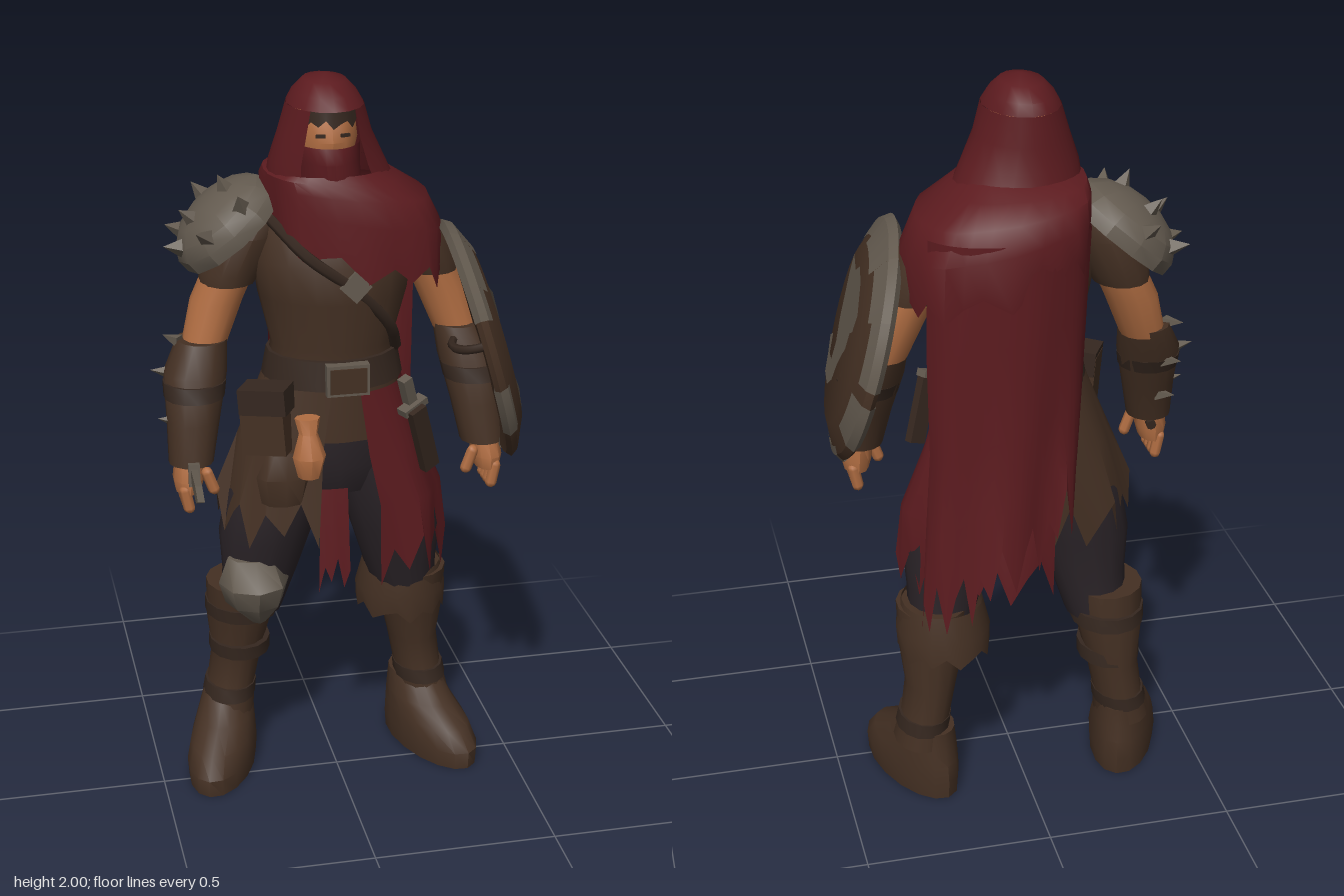
import * as THREE from 'three';
import { toCreasedNormals } from 'three/addons/utils/BufferGeometryUtils.js';

const mat = (name, color, side = THREE.FrontSide) => {
  const m = new THREE.MeshStandardMaterial({ color, side });
  m.name = name;
  return m;
};

export function createModel() {
  const red = mat('redCloth', 0x5c1b1f, THREE.DoubleSide);
  const leather = mat('brownLeather', 0x443023, THREE.DoubleSide);
  const darkLeather = mat('darkLeather', 0x35271f, THREE.DoubleSide);
  const pants = mat('darkTrousers', 0x2a2327);
  const metal = mat('wornMetal', 0x62594e, THREE.DoubleSide);
  const skin = mat('skin', 0xb06d42);
  const model = new THREE.Group();

  const add = (name, geo, material, parent = model) => {
    const m = new THREE.Mesh(geo, material);
    m.name = name;
    parent.add(m);
    return m;
  };

  // Skin over elliptical rings [x, y, z, rx, rz], listed top to bottom; square < 1 makes them boxier.
  // Cloth uses an open arc (0 = front, PI/2 = model's left), folds and a ragged, tilted hem.
  const teeth = [1, 0.25, 0.7, 0, 0.9, 0.4, 0.15];
  const power = (v, p) => Math.sign(v) * Math.abs(v) ** p;
  function skinRings(rings, o = {}) {
    const { n = 14, a0 = 0, a1 = Math.PI * 2, hem = 0, fold = 0, tilt = 0, square = 1, caps = !hem } = o;
    const rows = rings.map(r => [...r]);
    if (caps) {
      const f = rings[0], l = rings[rings.length - 1];
      rows.unshift([f[0], f[1], f[2], 0, 0]);
      rows.push([l[0], l[1], l[2], 0, 0]);
    }
    const pos = [], idx = [];
    rows.forEach(([x, y, z, rx, rz], i) => {
      const t = i / (rows.length - 1);
      for (let j = 0; j <= n; j++) {
        const a = a0 + (a1 - a0) * j / n;
        const k = 1 + fold * t * Math.sin(a * 8 + t * 2);
        const px = x + rx * k * power(Math.sin(a), square);
        const drop = i === rows.length - 1 ? hem * teeth[j % 7] : 0;
        pos.push(px, y - drop - tilt * px * t, z + rz * k * power(Math.cos(a), square));
      }
    });
    const w = n + 1;
    for (let i = 0; i < rows.length - 1; i++) for (let j = 0; j < n; j++) {
      const p = i * w + j;
      idx.push(p, p + w, p + w + 1, p, p + w + 1, p + 1);
    }
    const g = new THREE.BufferGeometry();
    g.setAttribute('position', new THREE.Float32BufferAttribute(pos, 3));
    g.setIndex(idx);
    return toCreasedNormals(g, 0.75);
  }
  const body = (name, rings, material, o) => add(name, skinRings(rings, o), material);
  const cloth = (name, rings, material, o) => body(name, rings, material, { caps: false, n: 21, ...o });
  const box = (name, size, p, material, rot = [0, 0, 0]) => {
    const m = add(name, new THREE.BoxGeometry(...size), material);
    m.position.set(...p);
    m.rotation.set(...rot);
  };
  const up = new THREE.Vector3(0, 1, 0);
  const spike = (p, dir, r, h, parent) => {
    const m = add('spike', new THREE.ConeGeometry(r, h, 4).toNonIndexed(), metal, parent);
    m.geometry.computeVertexNormals();
    m.position.copy(p);
    m.quaternion.setFromUnitVectors(up, dir.clone().normalize());
  };

  // Torso and pelvis
  body('jerkin', [[0, 1.7, -0.08, 0.1, 0.09], [0, 1.63, -0.08, 0.19, 0.13], [0, 1.52, -0.07, 0.215, 0.16],
    [0, 1.42, -0.06, 0.2, 0.16], [0, 1.28, -0.07, 0.165, 0.135], [0, 1.18, -0.07, 0.18, 0.145],
    [0, 1.03, -0.07, 0.195, 0.15]], leather, { n: 18 });
  body('pelvis', [[0, 1.06, -0.08, 0.19, 0.14], [0, 0.95, -0.08, 0.2, 0.145], [0, 0.86, -0.08, 0.14, 0.11]], pants);
  body('belt', [[0, 1.26, -0.07, 0.177, 0.15], [0, 1.18, -0.07, 0.192, 0.16]], darkLeather, { n: 18 });
  box('buckle', [0.115, 0.085, 0.03], [0.01, 1.215, 0.09], metal);
  box('bucklePlate', [0.098, 0.068, 0.008], [0.01, 1.215, 0.106], leather);
  box('chestPlate', [0.06, 0.06, 0.012], [0.03, 1.47, 0.1], metal, [-0.05, 0, 0.8]);
  const strap = new THREE.CatmullRomCurve3([[-0.17, 1.63, -0.02], [-0.09, 1.55, 0.075], [0.03, 1.46, 0.088],
    [0.13, 1.35, 0.05], [0.165, 1.26, -0.02]].map(p => new THREE.Vector3(...p)));
  add('chestStrap', new THREE.TubeGeometry(strap, 16, 0.016, 5), darkLeather);

  // Head, mask and hood
  body('head', [[-0.02, 1.95, -0.06, 0.04, 0.05], [-0.02, 1.91, -0.06, 0.075, 0.095], [-0.02, 1.84, -0.05, 0.082, 0.105],
    [-0.02, 1.76, -0.05, 0.065, 0.085], [-0.01, 1.65, -0.07, 0.06, 0.06]], skin);
  cloth('fringe', [[-0.02, 1.93, -0.05, 0.08, 0.105], [-0.02, 1.9, -0.05, 0.086, 0.11]], darkLeather,
    { n: 8, a0: -0.9, a1: 0.9, hem: 0.025 });
  for (const s of [-1, 1]) box('eye', [0.024, 0.008, 0.008], [-0.02 + s * 0.032, 1.86, 0.05], darkLeather, [0, s * 0.3, 0]);
  cloth('faceMask', [[-0.02, 1.83, -0.05, 0.088, 0.122], [-0.02, 1.79, -0.05, 0.088, 0.135],
    [-0.01, 1.72, -0.05, 0.08, 0.11], [0, 1.65, -0.05, 0.1, 0.12]], red, { n: 10, a0: -1.3, a1: 1.3 });
  cloth('hoodCrown', [[-0.02, 2, -0.055, 0, 0], [-0.02, 1.985, -0.06, 0.055, 0.075], [-0.02, 1.955, -0.06, 0.083, 0.117],
    [-0.02, 1.925, -0.055, 0.1, 0.132]], red, { n: 16 });
  cloth('hood', [[-0.02, 1.925, -0.055, 0.1, 0.132], [-0.02, 1.85, -0.06, 0.122, 0.135],
    [-0.015, 1.78, -0.065, 0.15, 0.135], [0, 1.7, -0.08, 0.175, 0.15]], red,
    { n: 18, a0: 0.62, a1: Math.PI * 2 - 0.62 });

  // Mantle, cape and skirts
  cloth('mantle', [[-0.01, 1.755, -0.07, 0.14, 0.135], [0, 1.735, -0.09, 0.175, 0.165], [0.04, 1.7, -0.11, 0.22, 0.2],
    [0.06, 1.64, -0.12, 0.24, 0.22], [0.065, 1.56, -0.115, 0.24, 0.215]], red,
    { n: 28, hem: 0.07, fold: 0.03, tilt: 0.25, square: 0.8 });
  cloth('cape', [[0.05, 1.65, -0.12, 0.235, 0.21], [0.06, 1.4, -0.11, 0.235, 0.22], [0.06, 1.15, -0.1, 0.23, 0.22],
    [0.07, 0.98, -0.1, 0.235, 0.225], [0.08, 0.89, -0.1, 0.24, 0.235]], red,
    { a0: 2.1, a1: 4.2, hem: 0.18, fold: 0.06, tilt: 0.75, square: 0.85 });
  cloth('redSkirt', [[0, 1.17, -0.07, 0.19, 0.158], [0.01, 1.0, -0.08, 0.235, 0.185], [0.03, 0.86, -0.09, 0.275, 0.21],
    [0.035, 0.76, -0.09, 0.28, 0.215]], red, { a0: 0.25, a1: 3.5, hem: 0.14, fold: 0.05, tilt: 0.1 });
  cloth('redFrontStrip', [[0, 0.88, -0.08, 0.19, 0.12], [0, 0.78, -0.08, 0.2, 0.13], [0, 0.68, -0.08, 0.22, 0.14]], red,
    { n: 5, a0: -0.28, a1: 0.12, hem: 0.1 });
  cloth('leatherSkirt', [[0, 1.19, -0.07, 0.19, 0.155], [-0.02, 1.02, -0.08, 0.235, 0.175], [-0.03, 0.87, -0.08, 0.28, 0.195]],
    leather, { a0: 2.9, a1: Math.PI * 2 - 0.15, n: 18, hem: 0.14, fold: 0.04 });

  // Pouches and sheathed knife
  box('hipPouch', [0.12, 0.17, 0.08], [-0.2, 1.1, 0.05], leather, [0, -0.5, 0.08]);
  box('hipPouchFlap', [0.13, 0.07, 0.09], [-0.2, 1.165, 0.052], darkLeather, [0, -0.5, 0.08]);
  body('lowerPouch', [[-0.15, 1.02, 0.07, 0.05, 0.03], [-0.16, 0.95, 0.08, 0.075, 0.045], [-0.16, 0.87, 0.07, 0.06, 0.04]], leather, { n: 8 });
  body('tanBag', [[-0.1, 1.12, 0.1, 0.035, 0.025], [-0.1, 1.08, 0.11, 0.025, 0.025], [-0.1, 1.02, 0.125, 0.045, 0.042],
    [-0.1, 0.96, 0.12, 0.03, 0.03]], skin, { n: 8 });
  box('knifeSheath', [0.05, 0.2, 0.025], [0.215, 1.035, 0.1], darkLeather, [0.1, 0.5, 0.3]);
  box('knifeGuard', [0.08, 0.02, 0.035], [0.185, 1.13, 0.1], metal, [0.1, 0.5, 0.3]);
  box('knifeGrip', [0.03, 0.08, 0.028], [0.17, 1.175, 0.1], metal, [0.1, 0.5, 0.3]);

  // Arms and legs
  for (const s of [-1, 1]) {
    const side = (rings, out = 0) => rings.map(([x, ...r]) => [(x + out) * s, ...r]);
    const wide = s < 0 ? 0.012 : 0.004;
    body('sleeve', side([[0.17, 1.65, -0.1, 0.06, 0.07], [0.22, 1.58, -0.1, 0.085, 0.095], [0.265, 1.48, -0.1, 0.083, 0.09],
      [0.275, 1.45, -0.1, 0.076, 0.085]]), leather);
    body('upperArm', side([[0.26, 1.5, -0.1, 0.07, 0.08], [0.305, 1.4, -0.1, 0.07, 0.075], [0.345, 1.28, -0.08, 0.06, 0.06]]), skin);
    body('bracer', side([[0.35, 1.3, -0.075, 0.068, 0.07], [0.374, 1.22, -0.045, 0.085, 0.08], [0.388, 1.1, -0.005, 0.071, 0.068],
      [0.4, 0.99, 0.02, 0.06, 0.06]]), leather);
    body('bracerBand', side([[0.378, 1.2, -0.035, 0.085, 0.083], [0.382, 1.16, -0.02, 0.081, 0.08]]), darkLeather);
    body('palm', side([[0.405, 1.01, 0.02, 0.038, 0.045], [0.41, 0.95, 0.03, 0.042, 0.058], [0.412, 0.915, 0.03, 0.034, 0.052]]), skin, { n: 10 });
    for (let i = 0; i < 5; i++) {
      const thumb = i === 4;
      const f = add(thumb ? 'thumb' : 'finger', new THREE.CapsuleGeometry(0.016, 0.05, 3, 7), skin);
      f.position.set(s * (thumb ? 0.355 : 0.42), thumb ? 0.945 : 0.902, thumb ? 0.06 : -0.01 + i * 0.027);
      f.rotation.z = s * (thumb ? -0.35 : -0.2);
    }
    body('trouserLeg', side([[0.11, 1.0, -0.08, 0.1, 0.13], [0.155, 0.86, -0.08, 0.135, 0.14], [0.185, 0.72, -0.09, 0.128, 0.125],
      [0.2, 0.6, -0.1, 0.104, 0.105], [0.22, 0.48, -0.12, 0.085, 0.095]]), pants);
    body('bootShaft', side([[0.235, 0.56, -0.125, 0.1, 0.11], [0.243, 0.44, -0.14, 0.09, 0.106], [0.25, 0.33, -0.152, 0.07, 0.09],
      [0.265, 0.24, -0.155, 0.067, 0.09], [0.28, 0.15, -0.15, 0.075, 0.1]], wide), leather);
    body('ankleStrap', side([[0.268, 0.235, -0.153, 0.072, 0.096], [0.274, 0.195, -0.15, 0.074, 0.1]], wide), darkLeather);
    const foot = body('foot', [[0, 0.2, 0, 0.066, 0.09], [0, 0.14, 0.03, 0.08, 0.125], [0, 0.1, 0.07, 0.088, 0.175],
      [0, 0.05, 0.09, 0.094, 0.2], [0, 0, 0.09, 0.09, 0.197]], leather, { n: 16 });
    foot.position.set(s < 0 ? -0.29 : 0.265, 0, -0.16);
    foot.rotation.y = s * 0.34;
  }

  // Left boot cuff, right boot bands and knee guard
  cloth('bootCuff', [[0.215, 0.575, -0.135, 0.11, 0.12], [0.215, 0.5, -0.14, 0.128, 0.135], [0.215, 0.46, -0.145, 0.125, 0.135]],
    leather, { hem: 0.04 });
  for (const [y, x, r] of [[0.5, -0.248, 0.102], [0.38, -0.255, 0.086]])
    body('bootBand', [[x, y, -0.135, r, r + 0.016], [x, y - 0.04, -0.14, r, r + 0.016]], darkLeather);
  body('kneeGuard', [[-0.23, 0.67, -0.03, 0.07, 0.05], [-0.23, 0.6, -0.02, 0.098, 0.1], [-0.23, 0.54, -0.02, 0.08, 0.085],
    [-0.22, 0.48, -0.03, 0.025, 0.045]], metal, { n: 8 });

  // Spiked shoulder guard
  const guard = new THREE.Group();
  guard.name = 'shoulderGuard';
  guard.position.set(-0.262, 1.59, -0.125);
  guard.rotation.z = 0.7;
  model.add(guard);
  const size = new THREE.Vector3(0.165, 0.105, 0.157);
  const dome = new THREE.SphereGeometry(1, 12, 5, 0, Math.PI * 2, 0, 1.75).scale(size.x, size.y, size.z);
  add('guardPlate', toCreasedNormals(dome, 0.5), metal, guard);
  for (const [count, tilt, off] of [[3, 0.4, 0.5], [7, 0.95, 0.2]])
    for (let i = 0; i < count; i++) {
      const a = off + i * Math.PI * 2 / count;
      const d = new THREE.Vector3(Math.sin(tilt) * Math.cos(a), Math.cos(tilt), Math.sin(tilt) * Math.sin(a));
      if (d.x < 0.6) spike(d.clone().multiply(size).multiplyScalar(1.1), d.clone().divide(size), 0.03, 0.06, guard);
    }

  // Bracer spikes
  for (const [x, y, z] of [[-0.43, 1.3, -0.09], [-0.465, 1.22, -0.06], [-0.455, 1.1, -0.01], [-0.42, 1.2, -0.115], [-0.42, 1.08, -0.07]])
    spike(new THREE.Vector3(x, y, z), new THREE.Vector3(-1, 0.2, z < -0.065 ? -0.9 : 0), 0.02, 0.055, model);

  // Dagger in the right hand, pointing forward
  const dagger = new THREE.Group();
  dagger.name = 'dagger';
  dagger.position.set(-0.4, 0.98, 0.04);
  dagger.rotation.set(-0.1, -0.07, 0);
  model.add(dagger);
  add('daggerGrip', new THREE.CylinderGeometry(0.014, 0.014, 0.15, 8).rotateX(Math.PI / 2), darkLeather, dagger);
  add('daggerGuard', new THREE.BoxGeometry(0.03, 0.06, 0.02), metal, dagger).position.z = 0.07;
  const blade = new THREE.Shape([[0.07, -0.018], [0.24, -0.022], [0.315, 0.005], [0.23, 0.02], [0.07, 0.018]].map(p => new THREE.Vector2(...p)));
  add('daggerBlade', new THREE.ExtrudeGeometry(blade, { depth: 0.018, bevelEnabled: false })
    .translate(0, 0, -0.009).rotateY(-Math.PI / 2), metal, dagger);

  // Round shield on the left arm, its face along local +z
  const shield = new THREE.Group();
  shield.name = 'shield';
  const n = new THREE.Vector3(0.955, 0.265, 0.095).normalize();
  const right = new THREE.Vector3().crossVectors(up, n).normalize();
  shield.quaternion.setFromRotationMatrix(new THREE.Matrix4().makeBasis(right, new THREE.Vector3().crossVectors(n, right), n));
  shield.position.set(0.395, 1.29, 0.04);
  model.add(shield);
  const lathe = (pts, seg, a = 0, len = Math.PI * 2) => toCreasedNormals(
    new THREE.LatheGeometry(pts.map(p => new THREE.Vector2(...p)), seg, a + Math.PI / 2, len).rotateX(Math.PI / 2), 0.5);
  add('shieldBoard', lathe([[0, -0.012], [0.25, -0.02], [0.315, -0.036], [0.328, -0.024], [0.315, -0.005], [0.24, 0.03], [0, 0.034]], 28), leather, shield);
  // Bare metal along the rim: [from, to, inner radius, height there]
  for (const [from, to, r, h] of [[-2, 30, 0.28, 0.0145], [30, 62, 0.265, 0.0215], [62, 100, 0.245, 0.031], [100, 135, 0.265, 0.0215],
    [135, 152, 0.29, 0.01], [-40, -10, 0.265, 0.0215], [-95, -60, 0.295, 0.007], [185, 212, 0.3, 0.0045]])
    add('rimPatch', lathe([[0.29, -0.032], [0.314, -0.039], [0.331, -0.024], [0.317, -0.002], [r, h]], 6,
      from * Math.PI / 180, (to - from) * Math.PI / 180), metal, shield);
  const worn = [[-27, 31], [-11, 29], [-1, 35], [13, 31], [27, 21], [24, 11], [18, 8], [17, -1], [11, -7], [5, -15], [1, -25],
    [-9, -32], [-24, -32], [-29, -24], [-36, -17], [-29, -13], [-24, -22], [-15, -21], [-14, -11], [-21, -1], [-24, 11], [-27, 21]];
  const patch = new THREE.Shape(worn.map(([x, y]) => new THREE.Vector2(x / 185, y / 185)));
  add('wornPatch', new THREE.ShapeGeometry(patch).translate(0, 0, 0.037), metal, shield);
  add('shieldStrap', new THREE.TorusGeometry(0.075, 0.012, 6, 12, Math.PI).rotateX(-Math.PI / 2), darkLeather, shield).position.z = -0.015;

  return model;
}
